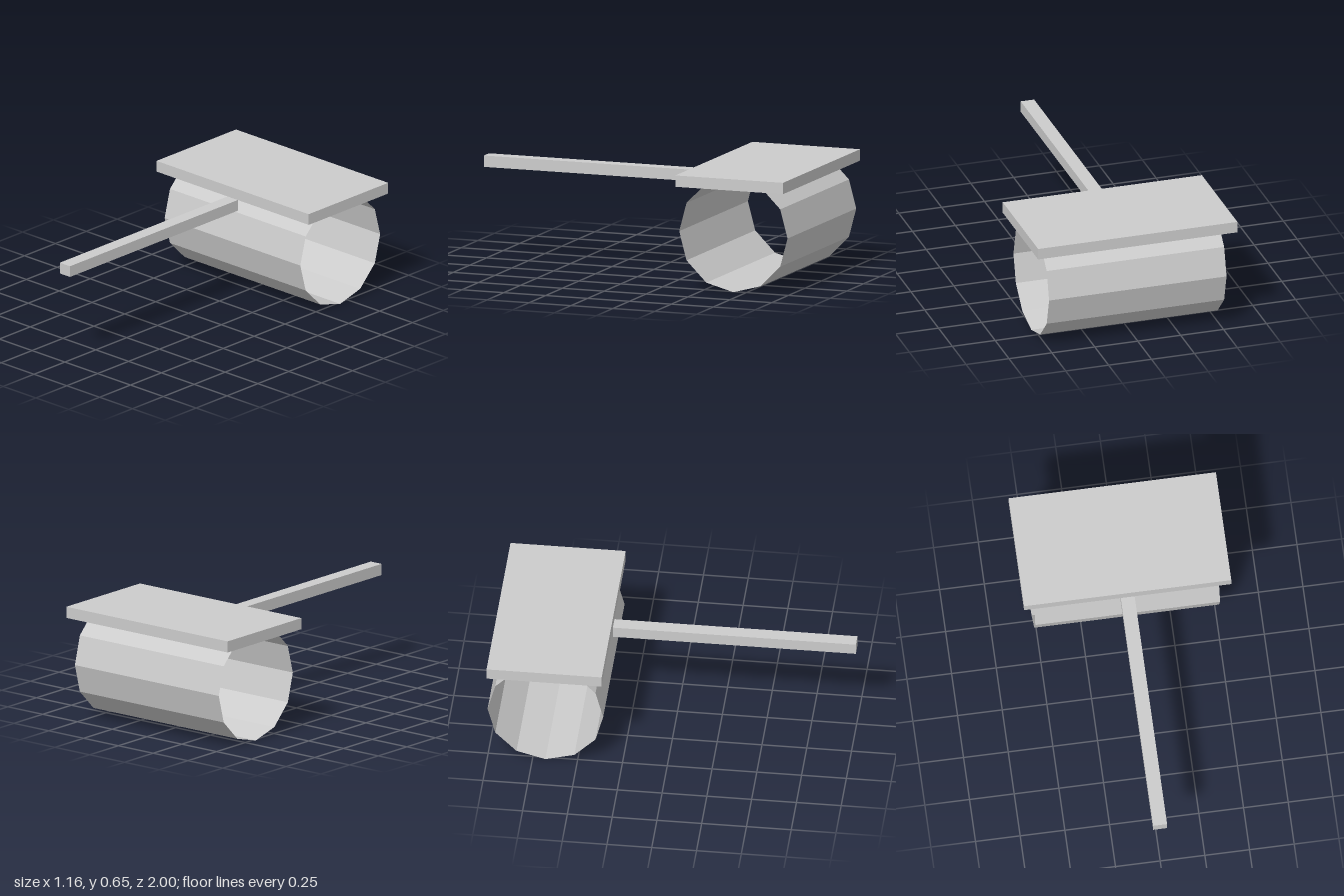
import * as THREE from 'three';

export function createModel() {
  const model = new THREE.Group();
  const grey = new THREE.MeshStandardMaterial({ color: 0xcccccc, flatShading: true, side: THREE.DoubleSide });
  grey.name = 'plain grey';

  const add = (name, geometry, x, y, z) => {
    const mesh = new THREE.Mesh(geometry, grey);
    mesh.name = name;
    mesh.position.set(x, y, z);
    model.add(mesh);
    return mesh;
  };

  // Flat lid plate and the long handle that meets its front lower edge
  add('topPlate', new THREE.BoxGeometry(1.16, 0.064, 0.643), 0, 0.615, -0.6785);
  add('handle', new THREE.BoxGeometry(0.078, 0.064, 1.357), 0, 0.551, 0.3215);

  // Open twelve-sided drum lying across x, its top sunk into the plate
  const drum = new THREE.CylinderGeometry(0.323, 0.323, 1.034, 12, 1, true);
  drum.rotateZ(Math.PI / 2);
  add('openDrum', drum, 0, 0.323, -0.6785);

  return model;
}
